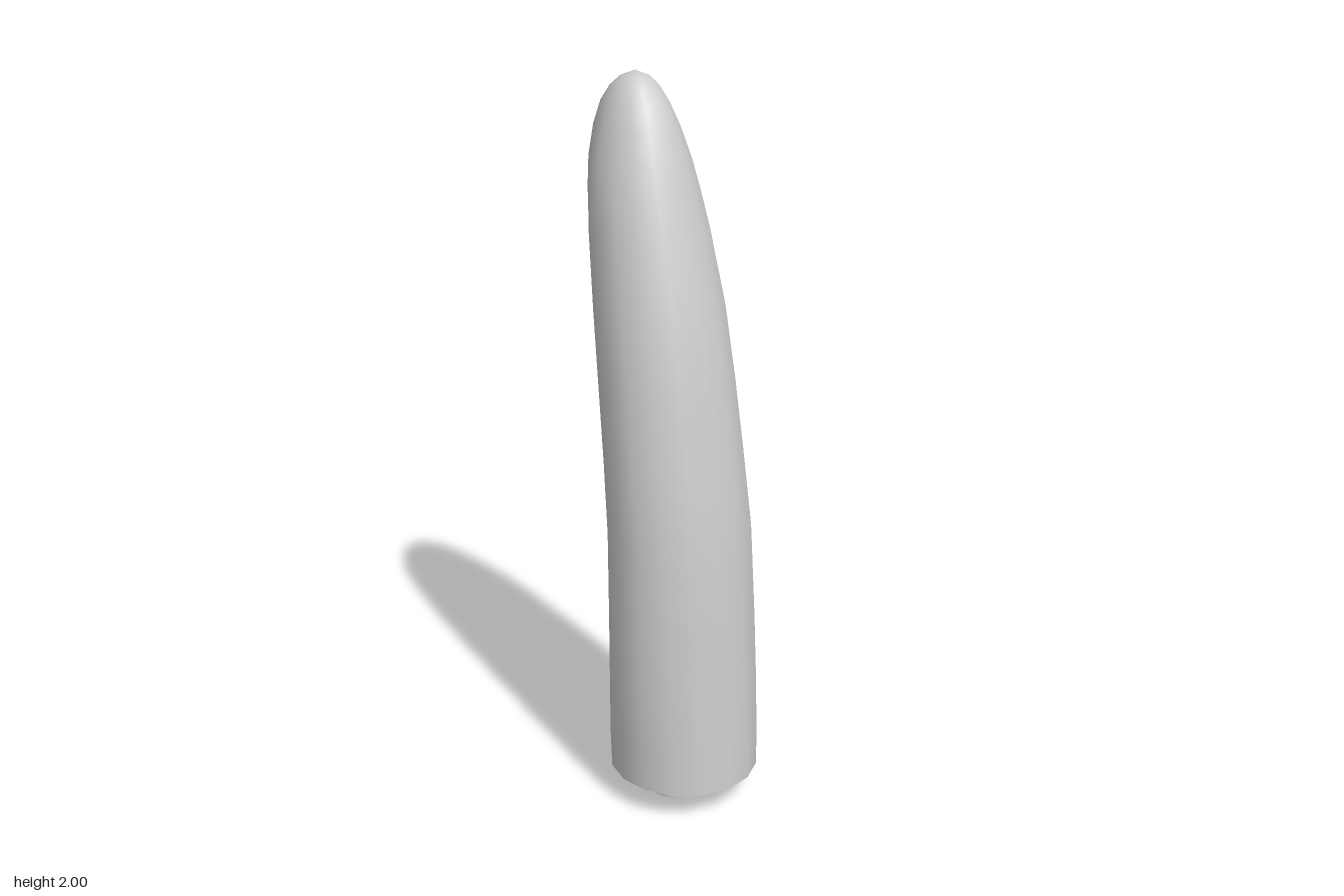
import * as THREE from 'three';

const SIDES = 16;

// Rings up the bent body: [height, half width, front z, back z]
const RINGS = [
  [0.085, 0.207, 0.278, -0.145],
  [0.2, 0.212, 0.27, -0.14],
  [0.35, 0.214, 0.259, -0.131],
  [0.55, 0.211, 0.247, -0.131],
  [0.8, 0.205, 0.23, -0.137],
  [1.0, 0.198, 0.197, -0.157],
  [1.2, 0.19, 0.165, -0.186],
  [1.4, 0.18, 0.126, -0.216],
  [1.6, 0.162, 0.07, -0.249],
  [1.7, 0.147, 0.04, -0.266],
  [1.78, 0.131, 0.014, -0.274],
  [1.86, 0.108, -0.018, -0.268],
  [1.92, 0.085, -0.05, -0.25],
  [1.96, 0.062, -0.08, -0.222],
  [1.985, 0.038, -0.11, -0.19],
];
const TIP = [0, 2, -0.15];

function ringPoints([y, rx, front, back]) {
  const points = [];
  for (let i = 0; i < SIDES; i++) {
    const a = (i / SIDES) * Math.PI * 2;
    points.push(rx * Math.sin(a), y, (front + back) / 2 + ((front - back) / 2) * Math.cos(a));
  }
  return points;
}

function makeGeometry(positions, index) {
  const geometry = new THREE.BufferGeometry();
  geometry.setAttribute('position', new THREE.Float32BufferAttribute(positions, 3));
  geometry.setIndex(index);
  geometry.computeVertexNormals();
  return geometry;
}

// Smooth skin lofted through the rings and closed at the tip
function skinGeometry() {
  const positions = [...RINGS.flatMap(ringPoints), ...TIP];
  const index = [];
  const tip = RINGS.length * SIDES;
  for (let r = 0; r < RINGS.length; r++) {
    for (let i = 0; i < SIDES; i++) {
      const a = r * SIDES + i;
      const b = r * SIDES + ((i + 1) % SIDES);
      if (r === RINGS.length - 1) index.push(a, b, tip);
      else index.push(a, b, b + SIDES, a, b + SIDES, a + SIDES);
    }
  }
  return makeGeometry(positions, index);
}

// Flat underside with its own normals, so the rim stays sharp
function undersideGeometry() {
  const [y, , front, back] = RINGS[0];
  const positions = [...ringPoints(RINGS[0]), 0, y, (front + back) / 2];
  const index = [];
  for (let i = 0; i < SIDES; i++) index.push((i + 1) % SIDES, i, SIDES);
  return makeGeometry(positions, index);
}

export function createModel() {
  const group = new THREE.Group();
  const material = new THREE.MeshStandardMaterial({ color: 0xcccccc });
  const add = (name, geometry) => {
    const mesh = new THREE.Mesh(geometry, material);
    mesh.name = name;
    group.add(mesh);
    return mesh;
  };

  add('curvedBody', skinGeometry());
  add('underside', undersideGeometry());

  // Short oval peg below the body
  const peg = add('basePeg', new THREE.CylinderGeometry(0.098, 0.098, 0.1, SIDES));
  peg.scale.z = 0.86;
  peg.position.set(0, 0.05, 0.066);

  return group;
}
